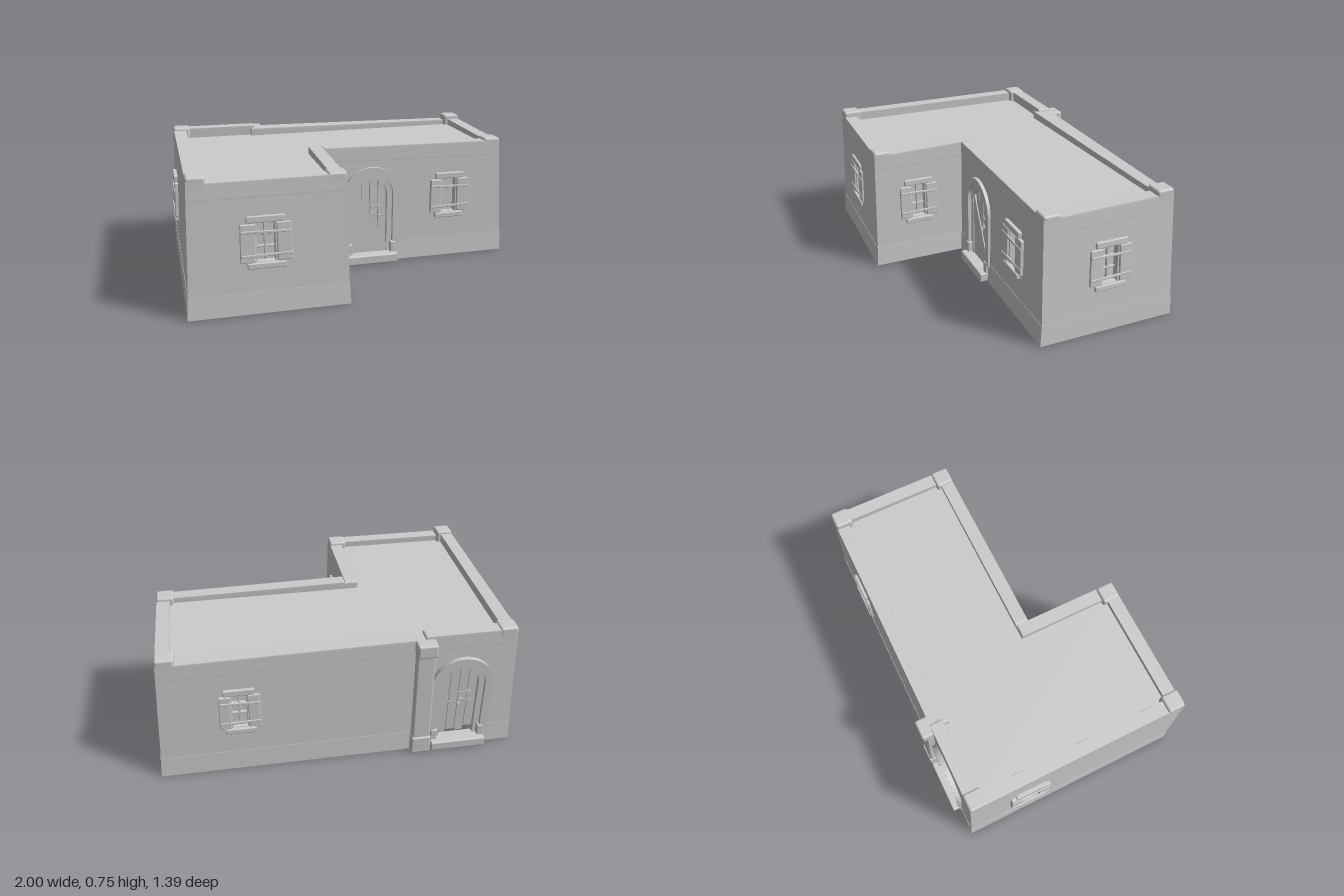
import * as THREE from 'three';
import { RoundedBoxGeometry } from 'three/addons/geometries/RoundedBoxGeometry.js';

const MAT = new THREE.MeshStandardMaterial({ color: 0xcccccc });
const PLINTH = 0.12, TOP = 0.69, CY = 0.415, WIN_Y = 0.385, FOOT = 0.009;
// Distance a wall has leaned inwards at height y; top is its value at TOP
const inset = (y, top) => FOOT + (y - PLINTH) / (TOP - PLINTH) * (top - FOOT);
const plinthInset = y => y * 0.06;

function add(parent, name, geo, x = 0, y = 0, z = 0, rz = 0) {
  const m = new THREE.Mesh(geo, MAT);
  m.name = name;
  m.position.set(x, y, z);
  m.rotation.z = rz;
  parent.add(m);
  return m;
}
const rbox = (w, h, d, r = 0.005) => new RoundedBoxGeometry(w, h, d, 2, Math.min(r, w / 2.2, h / 2.2, d / 2.2));
const extrude = (shape, depth) => new THREE.ExtrudeGeometry(shape, { depth, bevelEnabled: false, curveSegments: 16 });
const poly = pts => new THREE.Shape(pts.map(p => new THREE.Vector2(p[0], p[1])));

// Leaning wall slab: end vertices are mitred into the walls before and after it
function slab(shape, L, depth, k0, k1, own, before, after) {
  const g = extrude(shape, depth), p = g.attributes.position;
  for (let i = 0; i < p.count; i++) {
    const s = p.getX(i), y = p.getY(i), back = depth - p.getZ(i);
    if (s < 1e-5) p.setX(i, k0 * (before(y) + back));
    if (s > L - 1e-5) p.setX(i, L - k1 * (after(y) + back));
    p.setZ(i, -own(y) - back);
  }
  g.computeVertexNormals();
  return g;
}

// Arched ring standing on y0, open at the bottom
function archRing(r, ri, y0, depth) {
  const s = new THREE.Shape();
  s.moveTo(r, y0);
  s.lineTo(r, CY);
  s.absarc(0, CY, r, 0, Math.PI, false);
  s.lineTo(-r, y0);
  s.lineTo(-ri, y0);
  s.lineTo(-ri, CY);
  s.absarc(0, CY, ri, Math.PI, 0, true);
  s.lineTo(ri, y0);
  return extrude(s, depth);
}

function buildWindow(wall) {
  const g = new THREE.Group();
  g.name = 'window';
  g.position.set(wall.win, WIN_Y, wall.out - inset(WIN_Y, wall.top));
  g.rotation.x = -(wall.top - FOOT) / (TOP - PLINTH);
  g.scale.x = wall.wide;
  add(g, 'lintel', rbox(0.2, 0.035, 0.05), 0, 0.125, 0);
  add(g, 'sill', rbox(0.2, 0.03, 0.054), 0, -0.122, 0);
  add(g, 'windowPane', rbox(0.116, 0.22, 0.008, 0.002), 0, 0, -0.035);
  for (const x of [-1, 1]) {
    add(g, 'shutter', rbox(0.078, 0.205, 0.034), x * 0.095, 0.002 * x, 0.006, 0.015 * x);
    add(g, 'windowJamb', rbox(0.014, 0.21, 0.06, 0.003), x * 0.054, 0, -0.02);
  }
  add(g, 'upperStrap', rbox(0.262, 0.014, 0.01, 0.003), 0, 0.058, 0.023, -0.02);
  add(g, 'lowerStrap', rbox(0.262, 0.014, 0.01, 0.003), 0, -0.065, 0.023, 0.025);
  if (wall.bars) {
    add(g, 'mullion', rbox(0.014, 0.2, 0.016, 0.003), 0, 0, -0.024);
    for (const y of [-0.03, 0.035]) add(g, 'glazingBar', rbox(0.11, 0.012, 0.016, 0.003), 0, y, -0.024);
  }
  return g;
}

function buildDoor(s, z, leaning) {
  const g = new THREE.Group();
  g.name = 'door';
  g.position.set(s, 0, z);
  add(g, 'outerArch', archRing(0.175, 0.132, 0.1, 0.07), 0, 0, -0.074);
  add(g, 'innerArch', archRing(0.14, 0.1, 0, 0.08), 0, 0, -0.105);
  add(g, 'threshold', rbox(0.315, 0.055, 0.095, 0.008), 0, 0.0275, -0.01);
  for (const x of [-1, 1]) add(g, 'jambBlock', rbox(0.036, 0.07, 0.05), x * 0.137, 0.085, -0.022);
  // Planks cut to the arch, with uneven feet
  const feet = [0.06, 0.075, 0.065, 0.09], w = 0.052, r = 0.105;
  feet.forEach((y0, i) => {
    const a = -0.104 + i * w, b = a + w - 0.004, pts = [[a, y0], [b, y0]];
    for (let j = 0; j <= 5; j++) {
      const x = b + (a - b) * j / 5;
      pts.push([x, CY + Math.sqrt(Math.max(0, r * r - x * x))]);
    }
    add(g, 'plank', extrude(poly(pts), 0.016), 0, 0, -0.065);
  });
  add(g, 'rearBoard', rbox(0.2, 0.34, 0.012), 0, 0.27, -0.071);
  add(g, 'ringHandle', new THREE.TorusGeometry(0.018, 0.004, 8, 20), 0.012, 0.28, -0.044);
  for (const [x, y] of [[0.012, 0.34], [0.06, 0.28], [-0.045, 0.28], [0.05, 0.34]]) {
    add(g, 'ironStrap', rbox(0.03, 0.006, 0.008, 0.002), x, y, -0.047);
    add(g, 'ironStrap', rbox(0.006, 0.03, 0.008, 0.002), x, y, -0.047);
  }
  if (leaning) {
    const tri = poly([[-0.13, 0.055], [0.125, 0.055], [-0.09, 0.45], [-0.13, 0.42]]);
    add(g, 'slantedPanel', extrude(tri, 0.006), 0, 0, -0.036);
  }
  return g;
}

// Parapet run from s0 to s1 with heights h and widths w at its two ends, leaning with its wall
function parapet(parent, s0, s1, wallTop, h, w = [0.075, 0.075]) {
  const L = s1 - s0, g = rbox(L, 0.09, 1, 0.012), p = g.attributes.position;
  for (let i = 0; i < p.count; i++) {
    const t = p.getX(i) / L + 0.5, wid = w[0] + (w[1] - w[0]) * t;
    const y = h[0] + (h[1] - h[0]) * t - 0.045 + p.getY(i);
    p.setXYZ(i, s0 + L * t, y, 0.0006 - inset(y, wallTop) + (p.getZ(i) - 0.5) * wid);
  }
  g.computeVertexNormals();
  add(parent, 'parapet', g);
}

export function createModel() {
  const model = new THREE.Group();
  model.name = 'house';
  // L-shaped plan (x, z); k is 1 at outer corners and -1 at the inner corner
  const plan = [[-0.99, 0.69], [-0.13, 0.69], [-0.13, 0.145], [0.995, 0.145], [0.995, -0.65], [-0.99, -0.65]];
  const k = [1, 1, -1, 1, 1, 1];
  const walls = [
    { name: 'frontWall', top: 0.028, win: 0.415, wide: 1, out: -0.011, bars: true, h: [0.71, 0.712], corner: 0.745 },
    { name: 'courtSideWall', top: 0.017, win: 0.28, wide: 0.85, out: -0.01, bars: true, h: [0.702, 0.718], corner: 0.722 },
    { name: 'courtFrontWall', top: 0.017, win: 0.76, wide: 0.89, out: -0.004, door: 0.27, doorOut: 0.008, h: [0.718, 0.705] },
    { name: 'leftEndWall', top: 0.042, win: 0.4, wide: 0.91, out: -0.011, bars: true, h: [0.702, 0.716], corner: 0.722 },
    { name: 'backWall', top: 0.032, win: 0.45, wide: 0.82, out: -0.008, bars: true, door: 1.665, doorOut: 0.003, h: [0.705, 0.72], corner: 0.742 },
    { name: 'rightEndWall', top: 0.03, win: 0.385, wide: 0.9, out: -0.003, bars: true, h: [0.728, 0.728], corner: 0.745 },
  ];
  walls.forEach((wall, i) => {
    const j = (i + 1) % 6, [x0, z0] = plan[i], dx = plan[j][0] - x0, dz = plan[j][1] - z0;
    const L = Math.hypot(dx, dz), g = new THREE.Group();
    g.name = wall.name;
    g.position.set(x0, 0, z0);
    g.rotation.y = Math.atan2(-dz, dx);
    model.add(g);

    // Upper wall with window hole and door notch
    const d = wall.door, shape = new THREE.Shape();
    shape.moveTo(0, PLINTH);
    if (d) {
      shape.lineTo(d - 0.135, PLINTH);
      shape.lineTo(d - 0.135, CY);
      shape.absarc(d, CY, 0.135, Math.PI, 0, true);
      shape.lineTo(d + 0.135, PLINTH);
    }
    shape.lineTo(L, PLINTH);
    shape.lineTo(L, TOP);
    shape.lineTo(0, TOP);
    const a = wall.win - 0.055 * wall.wide, b = wall.win + 0.055 * wall.wide;
    shape.holes.push(poly([[a, 0.28], [a, 0.49], [b, 0.49], [b, 0.28]]));
    const before = walls[(i + 5) % 6].top, after = walls[j].top;
    const leans = [wall.top, before, after].map(t => y => inset(y, t));
    add(g, 'wall', slab(shape, L, 0.07, k[i], k[j], ...leans));

    // Thicker plinth, broken at the door
    const spans = d ? [[0, d - 0.135], [d + 0.135, L]] : [[0, L]];
    for (const [s0, s1] of spans) {
      const rect = poly([[s0, 0], [s1, 0], [s1, PLINTH], [s0, PLINTH]]);
      add(g, 'plinth', slab(rect, L, 0.095, k[i], k[j], plinthInset, plinthInset, plinthInset));
    }

    g.add(buildWindow(wall));
    if (d) g.add(buildDoor(d, wall.doorOut, wall.name === 'courtFrontWall'));

    const p0 = before * k[i], p1 = L - (k[j] > 0 ? after : -0.09);
    if (wall.name === 'backWall') {
      parapet(g, p0, 1.47, wall.top, wall.h, [0.07, 0.105]);
      parapet(g, 1.445, p1, wall.top, [0.735, 0.735]);
      // Pilaster with its base and cap
      const pil = rbox(0.1, 0.66, 0.09, 0.01), p = pil.attributes.position;
      for (let v = 0; v < p.count; v++) p.setZ(v, p.getZ(v) - (p.getY(v) + 0.33) * 0.045);
      add(g, 'pilaster', pil, 1.445, 0.33, -0.005);
      add(g, 'pilasterBase', rbox(0.11, 0.11, 0.09, 0.01), 1.445, 0.055, -0.001);
      add(g, 'pilasterCap', rbox(0.11, 0.08, 0.11, 0.012), 1.445, 0.68, -0.022);
    } else parapet(g, p0, p1, wall.top, wall.h);

    if (wall.corner) {
      const block = rbox(0.1, wall.corner - 0.655, 0.1, 0.014);
      add(g, 'cornerBlock', block, before + 0.049, (wall.corner + 0.655) / 2, -wall.top - 0.049);
    }
  });

  // Flat roof
  const e = 0.06;
  const roof = poly([[-0.99 + e, -0.69 + e], [-0.13 - e, -0.69 + e], [-0.13 - e, -0.145 + e],
    [0.995 - e, -0.145 + e], [0.995 - e, 0.65 - e], [-0.99 + e, 0.65 - e]]);
  add(model, 'roof', extrude(roof, 0.03), 0, 0.645, 0).rotation.x = -Math.PI / 2;
  return model;
}
